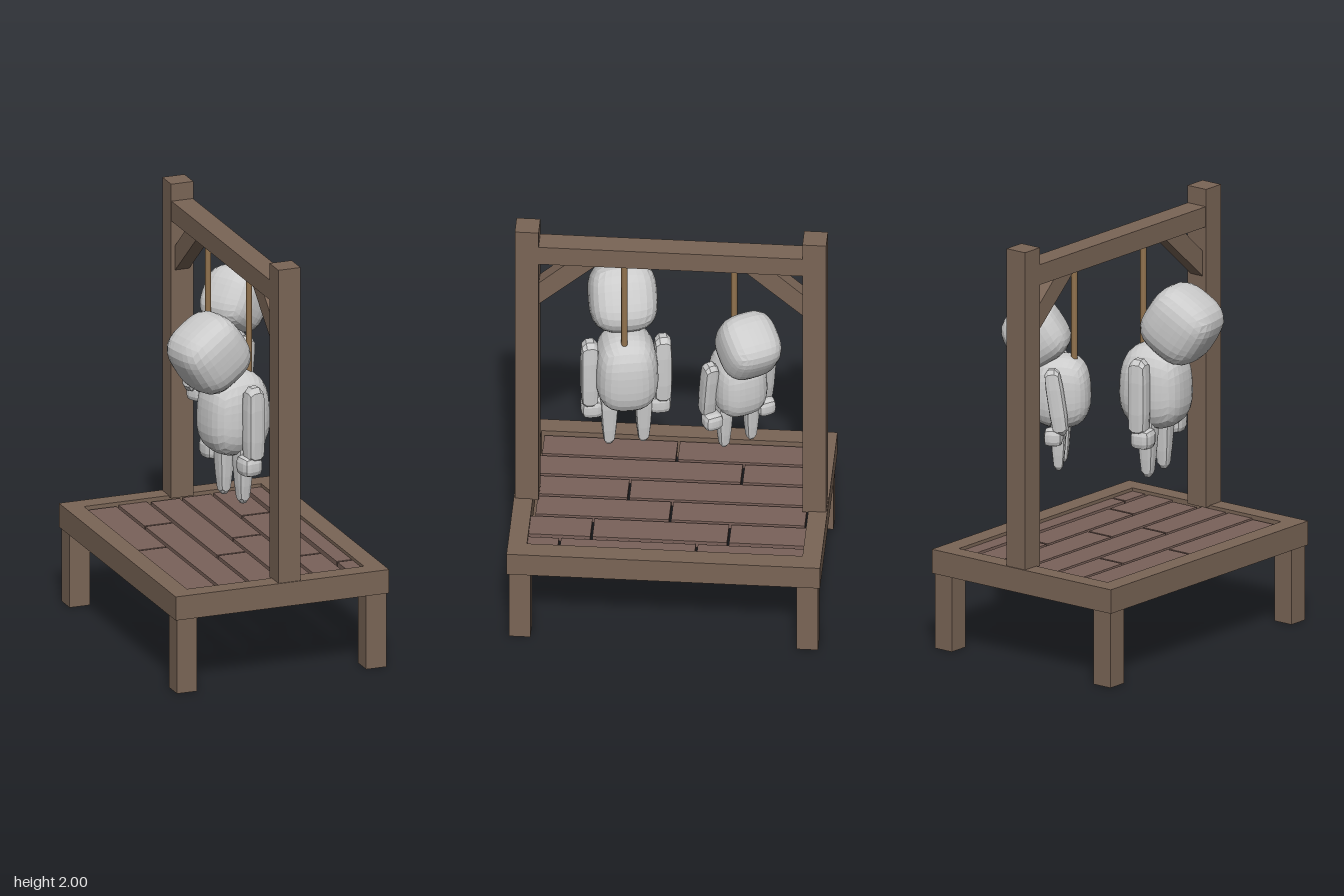
import * as THREE from 'three';

const wood = new THREE.MeshStandardMaterial({ color: 0x7a6556, flatShading: true });
const plankWood = new THREE.MeshStandardMaterial({ color: 0x7a625a, flatShading: true });
const ropeMat = new THREE.MeshStandardMaterial({ color: 0x94744f });
const grey = new THREE.MeshStandardMaterial({ color: 0xcccccc, flatShading: true });

function add(parent, name, geometry, material) {
  const mesh = new THREE.Mesh(geometry, material);
  mesh.name = name;
  parent.add(mesh);
  return mesh;
}

// Box given by its minimum and maximum corners
function box(parent, name, [x0, y0, z0], [x1, y1, z1], material = wood) {
  const mesh = add(parent, name, new THREE.BoxGeometry(x1 - x0, y1 - y0, z1 - z0), material);
  mesh.position.set((x0 + x1) / 2, (y0 + y1) / 2, (z0 + z1) / 2);
  return mesh;
}

// Cube inflated towards a sphere: p = 2 is round, larger p is boxier; taper narrows the bottom (or top if negative)
function blob(hx, hy, hz, p, seg, taper = 0) {
  const geo = new THREE.BoxGeometry(2, 2, 2, seg, seg, seg);
  const pos = geo.attributes.position;
  for (let i = 0; i < pos.count; i++) {
    const v = [pos.getX(i), pos.getY(i), pos.getZ(i)].map(c => Math.tan(c * Math.PI / 4));
    const n = Math.pow(v.reduce((s, c) => s + Math.pow(Math.abs(c), p), 0), 1 / p);
    const [x, y, z] = v.map(c => c / n);
    const k = 1 + taper * y;
    pos.setXYZ(i, x * hx * k, y * hy, z * hz * k);
  }
  geo.computeVertexNormals();
  return geo;
}

// Simple hanging dummy facing +x, origin at the middle of the body
function dummy(name, armTilt) {
  const g = new THREE.Group();
  g.name = name;
  add(g, 'body', blob(0.16, 0.2, 0.145, 2.8, 8, -0.05), grey);
  const head = add(g, 'head', blob(0.165, 0.168, 0.158, 3, 8), grey);
  head.position.set(0.135, 0.308, 0);
  head.rotation.z = -0.57;
  for (const s of [-1, 1]) {
    const arm = new THREE.Group();
    arm.name = 'armGroup';
    arm.rotation.z = -armTilt;
    g.add(arm);
    add(arm, 'arm', blob(0.045, 0.185, 0.042, 5, 4), grey).position.set(0, -0.02, s * 0.17);
    const hand = add(g, 'hand', blob(0.05, 0.048, 0.052, 4, 4), grey);
    hand.position.set(0.015, -0.218, s * 0.157);
    add(g, 'leg', blob(0.037, 0.15, 0.037, 5, 4, 0.28), grey).position.set(0, -0.275, s * 0.08);
  }
  return g;
}

export function createModel() {
  const model = new THREE.Group();
  model.name = 'scaffold';

  // Platform: legs, rim rails, planks
  const platform = new THREE.Group();
  platform.name = 'platform';
  model.add(platform);
  for (const s of [-1, 1]) {
    for (const t of [-1, 1]) {
      const leg = add(platform, 'platformLeg', new THREE.BoxGeometry(0.1, 0.36, 0.1), wood);
      leg.position.set(s * 0.47, 0.18, t * 0.665);
    }
    const side = add(platform, 'sideRail', new THREE.BoxGeometry(0.09, 0.115, 1.45), wood);
    side.position.set(s * 0.485, 0.418, 0);
    const end = add(platform, 'endRail', new THREE.BoxGeometry(0.88, 0.115, 0.088), wood);
    end.position.set(0, 0.418, s * 0.681);
  }

  // Each row: left edge, right edge, start, end, joints along z
  const rows = [
    [-0.425, -0.285, -0.625, 0.622, [0]],
    [-0.268, -0.13, -0.64, 0.637, [-0.312]],
    [-0.112, 0.028, -0.625, 0.637, [0.2]],
    [0.045, 0.185, -0.628, 0.617, [-0.005]],
    [0.202, 0.342, -0.64, 0.637, [-0.285, 0.347]],
    [0.365, 0.44, -0.64, 0.637, [-0.143, 0.49]],
  ];
  for (const [x0, x1, z0, z1, joints] of rows) {
    const cuts = [z0 - 0.005, ...joints, z1 + 0.005];
    for (let i = 0; i + 1 < cuts.length; i++) {
      box(platform, 'plank', [x0, 0.425, cuts[i] + 0.005], [x1, 0.46, cuts[i + 1] - 0.005], plankWood);
    }
  }

  // Upright frame: posts, crossbeam, corner braces
  const frame = new THREE.Group();
  frame.name = 'uprightFrame';
  model.add(frame);
  const braceShape = new THREE.Shape([[0.61, 1.58], [0.61, 1.7], [0.475, 1.822], [0.335, 1.822]]
    .map(([z, y]) => new THREE.Vector2(z, y)));
  const braceGeo = new THREE.ExtrudeGeometry(braceShape, { depth: 0.07, bevelEnabled: false });
  braceGeo.translate(0, 0, -0.035);
  for (const s of [-1, 1]) {
    const post = box(frame, 'post', [-0.018, 0.47, -0.055], [0.092, 2, 0.055]);
    post.position.z = s * 0.665;
    const brace = add(frame, 'brace', braceGeo, wood);
    brace.position.x = 0.037;
    brace.rotation.y = -s * Math.PI / 2;
  }
  box(frame, 'crossbeam', [-0.016, 1.82, -0.612], [0.09, 1.917, 0.612]);

  // Ropes
  for (const z of [0.217, -0.29]) {
    add(model, 'rope', new THREE.CylinderGeometry(0.015, 0.015, 0.49, 8), ropeMat).position.set(0.037, 1.585, z);
  }

  // Two dummies, the rear one smaller
  const large = dummy('largeDummy', 0);
  large.position.set(-0.04, 1.16, 0.215);
  large.rotation.y = Math.PI + 0.2;
  const small = dummy('smallDummy', 0.15);
  small.position.set(0.1, 1.227, -0.31);
  small.rotation.y = 0.52;
  small.scale.setScalar(0.86);
  model.add(large, small);

  return model;
}
